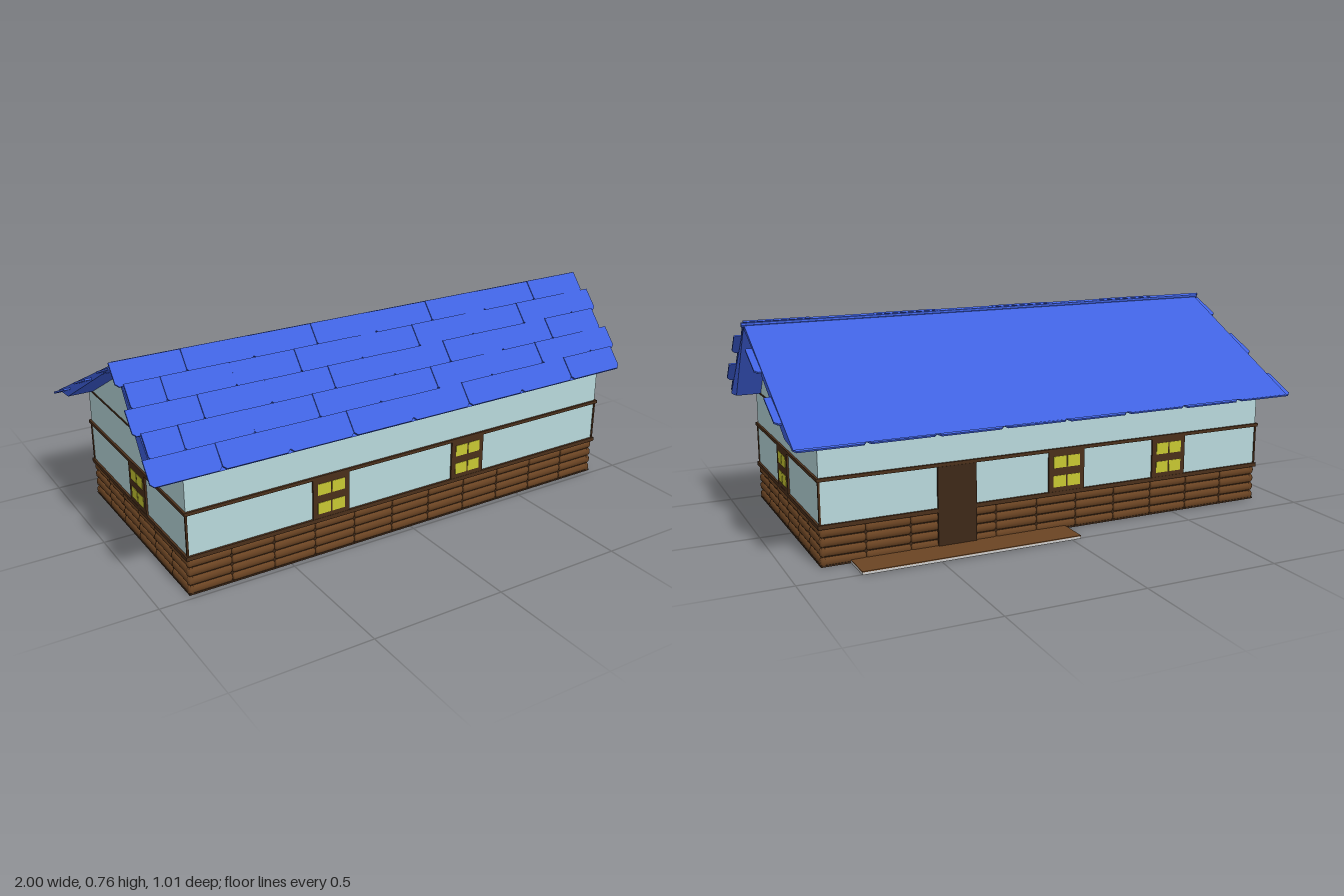
import * as THREE from 'three';

const mat = (color, extra = {}) => new THREE.MeshStandardMaterial({ color, ...extra });

export function createModel() {
  const house = new THREE.Group();
  house.name = 'house';
  const M = {
    wall: mat(0xb9d9dc), log: mat(0x6b4423), trim: mat(0x4a2f1a), dark: mat(0x3d2817),
    pane: mat(0xc8c832), roof: mat(0x4062e0, { flatShading: true }), stone: mat(0xcccccc),
  };

  // House footprint
  const HX = 0.885, Z0 = -0.385, Z1 = 0.482, ZC = (Z0 + Z1) / 2, D = Z1 - Z0;

  const add = (geometry, material, name, parent = house) => {
    const mesh = new THREE.Mesh(geometry, material);
    mesh.name = name;
    parent.add(mesh);
    return mesh;
  };
  const box = (name, material, w, h, d, x, y, z, parent) => {
    const mesh = add(new THREE.BoxGeometry(w, h, d), material, name, parent);
    mesh.position.set(x, y, z);
    return mesh;
  };
  // Slab running around the whole house, between two heights
  const band = (name, material, y0, y1, out) =>
    box(name, material, 2 * (HX + out), y1 - y0, D + 2 * out, 0, (y0 + y1) / 2, ZC);

  // Walls and horizontal trim
  band('logCore', M.dark, 0, 0.135, -0.008);
  band('walls', M.wall, 0.14, 0.44, -0.003);
  band('lowerTrim', M.trim, 0.133, 0.148, 0.005);
  band('upperTrim', M.trim, 0.297, 0.309, 0.005);
  band('ceilingTrim', M.trim, 0.436, 0.442, 0);
  for (const x of [-HX, HX]) for (const z of [Z0, Z1]) {
    box('cornerPost', M.trim, 0.007, 0.15, 0.007, x - Math.sign(x) * 0.003, 0.222, z - Math.sign(z) * 0.003);
  }

  // Log base: four courses of barrel-ended logs on every side
  const logGeometry = (length) => {
    const h = length / 2, r = 0.0168;
    const profile = [[0, -h], [r * 0.65, -h], [r, -h + 0.006], [r, h - 0.006], [r * 0.65, h], [0, h]];
    const g = new THREE.LatheGeometry(profile.map(([a, b]) => new THREE.Vector2(a, b)), 12);
    return g.rotateZ(Math.PI / 2);
  };
  const logWall = (name, count, length, x, z, turn) => {
    const wall = new THREE.Group();
    wall.name = name;
    wall.position.set(x, 0, z);
    wall.rotation.y = turn;
    const step = length / count, geometry = logGeometry(step - 0.001);
    for (let row = 0; row < 4; row++) for (let i = 0; i < count; i++) {
      const log = add(geometry, M.log, 'log', wall);
      log.position.set((i + 0.5) * step - length / 2, 0.0165 + row * 0.0335, 0);
      log.scale.z = 0.7;
    }
    house.add(wall);
  };
  const inset = 0.0118;
  logWall('frontLogs', 11, 2 * HX, 0, Z1 - inset, 0);
  logWall('backLogs', 11, 2 * HX, 0, Z0 + inset, 0);
  logWall('rightLogs', 6, D, HX - inset, ZC, Math.PI / 2);
  logWall('leftLogs', 6, D, -HX + inset, ZC, Math.PI / 2);
  box('floor', M.dark, 2 * HX - 0.002, 0.006, D - 0.002, 0, 0.003, ZC);

  // Four-pane windows
  const addWindow = (x, z, turn) => {
    const win = new THREE.Group();
    win.name = 'window';
    win.position.set(x, 0.2225, z);
    win.rotation.y = turn;
    box('windowFrame', M.trim, 0.145, 0.15, 0.008, 0, 0, 0, win);
    for (const sx of [-1, 1]) for (const sy of [-1, 1]) {
      box('windowPane', M.pane, 0.051, 0.043, 0.004, sx * 0.0285, sy * 0.036, 0.0035, win);
    }
    house.add(win);
  };
  for (const x of [-0.342, 0.247]) addWindow(x, Z1, 0);
  for (const x of [-0.037, -0.475]) addWindow(x, Z0, Math.PI);
  addWindow(HX, 0.078, Math.PI / 2);
  addWindow(-HX, 0.078, -Math.PI / 2);

  // Back door and the low porch in front of it
  box('door', M.dark, 0.145, 0.297, 0.012, 0.393, 0.1485, Z0);
  box('porch', M.stone, 0.815, 0.009, 0.125, 0.3725, 0.0045, -0.4425);
  box('porchBoards', M.log, 0.815, 0.003, 0.125, 0.3725, 0.0105, -0.4425);

  // Cross-section in (z, y), extruded along x
  const prism = (points, length) => {
    const shape = new THREE.Shape(points.map(([z, y]) => new THREE.Vector2(-z, y)));
    const g = new THREE.ExtrudeGeometry(shape, { depth: length, bevelEnabled: false });
    return g.translate(0, 0, -length / 2).rotateY(Math.PI / 2);
  };

  // Gable ends and the roof body with its tapering underside
  add(prism([[0.4, 0.44], [-0.34, 0.44], [0.2, 0.737]], 2 * HX - 0.006), M.wall, 'gables');
  add(prism([[0.498, 0.43], [0.4, 0.44], [0.2, 0.735], [-0.34, 0.44], [-0.447, 0.43], [0.195, 0.742]], 1.95),
    M.roof, 'roofBody');

  // One shingle: its lower corners are clipped
  const shingle = (w, h) => {
    const c = 0.012, a = w / 2;
    const outline = [[-a, c], [c - a, 0], [a - c, 0], [a, c], [a, h], [-a, h]];
    return new THREE.ExtrudeGeometry(new THREE.Shape(outline.map(([x, y]) => new THREE.Vector2(x, y))),
      { depth: 0.007, bevelEnabled: false });
  };

  // A roof slope covered in five staggered rows, from eave to ridge
  const slope = (name, eaveZ, ridgeZ) => {
    const group = new THREE.Group();
    group.name = name;
    const up = new THREE.Vector3(0, 0.742 - 0.43, ridgeZ - eaveZ);
    const rowHeight = up.length() / 5;
    up.normalize();
    const xAxis = new THREE.Vector3(1, 0, 0);
    const normal = new THREE.Vector3().crossVectors(xAxis, up);
    group.quaternion.setFromRotationMatrix(new THREE.Matrix4().makeBasis(xAxis, up, normal));
    group.position.set(0, 0.43, eaveZ);
    const pitch = 1.975 / 8;
    for (let row = 0; row < 5; row++) {
      const odd = row % 2;
      const widths = odd ? [0.5, 1, 1, 1, 1, 1, 1, 1, 0.5] : Array(8).fill(1);
      let x = odd ? -0.975 : -1;
      widths.forEach((unit, i) => {
        const w = unit * pitch;
        const tile = add(shingle(w - 0.001, rowHeight * (row < 4 ? 1.06 : 1)), M.roof, 'shingle', group);
        tile.position.set(x + w / 2, row * rowHeight, 0.004 + (i % 2) * 0.002);
        tile.rotation.x = 0.006 / rowHeight;
        x += w;
      });
    }
    house.add(group);
  };
  slope('frontSlope', 0.498, 0.195);
  slope('backSlope', -0.447, 0.195);

  // Ridge cap
  const ridge = add(new THREE.CylinderGeometry(0.009, 0.009, 1.97, 8), M.roof, 'ridgeCap');
  ridge.rotation.z = Math.PI / 2;
  ridge.position.set(0, 0.741, 0.196);

  return house;
}
